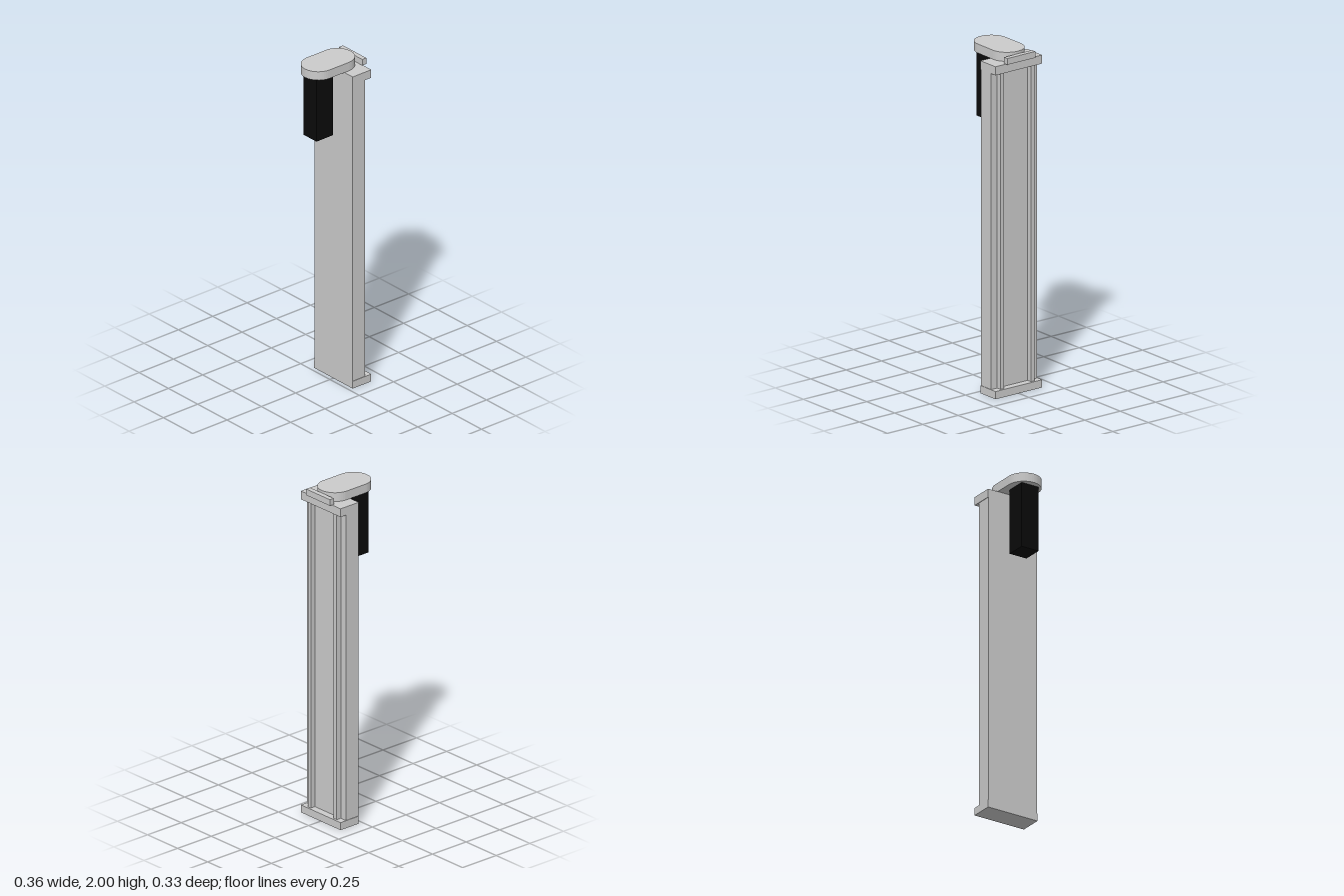
import * as THREE from 'three';

export function createModel() {
  const group = new THREE.Group();
  group.name = 'linearActuator';
  const grey = new THREE.MeshStandardMaterial({ color: 0xcccccc, flatShading: true });
  const black = new THREE.MeshStandardMaterial({ color: 0x0a0a0a, flatShading: true });

  // Box given by its min and max on each axis
  const box = (name, [x0, x1], [y0, y1], [z0, z1], material = grey) => {
    const mesh = new THREE.Mesh(new THREE.BoxGeometry(x1 - x0, y1 - y0, z1 - z0), material);
    mesh.position.set((x0 + x1) / 2, (y0 + y1) / 2, (z0 + z1) / 2);
    mesh.name = name;
    group.add(mesh);
  };

  // Upright slab between two end plates
  box('column', [0.025, 0.118], [0.045, 1.895], [-0.162, 0.162]);
  box('bottomPlate', [0.025, 0.16], [0, 0.045], [-0.165, 0.165]);
  box('topPlate', [0.025, 0.16], [1.895, 1.945], [-0.165, 0.165]);

  // Pair of guide rails along the slab
  for (const s of [-1, 1]) {
    const z = s * 0.1075;
    box(s > 0 ? 'frontRail' : 'backRail', [0.118, 0.148], [0.045, 1.895], [z - 0.0125, z + 0.0125]);
  }

  // Rounded belt cover on top
  const r = 0.098, left = -0.084, right = 0.054;
  const outline = new THREE.Shape();
  outline.moveTo(left, -r);
  outline.lineTo(right, -r);
  outline.absarc(right, 0, r, -Math.PI / 2, Math.PI / 2, false);
  outline.lineTo(left, r);
  outline.absarc(left, 0, r, Math.PI / 2, Math.PI * 1.5, false);
  const coverGeometry = new THREE.ExtrudeGeometry(outline, { depth: 0.053, bevelEnabled: false, curveSegments: 12 });
  coverGeometry.rotateX(-Math.PI / 2);
  const cover = new THREE.Mesh(coverGeometry, grey);
  cover.position.y = 1.947;
  cover.name = 'beltCover';
  group.add(cover);

  // Bar at the end of the cover, and the motor hanging below it
  box('endBar', [0.152, 0.181], [1.948, 1.985], [-0.1, 0.098]);
  box('motor', [-0.146, -0.027], [1.556, 1.947], [-0.056, 0.056], black);

  return group;
}
